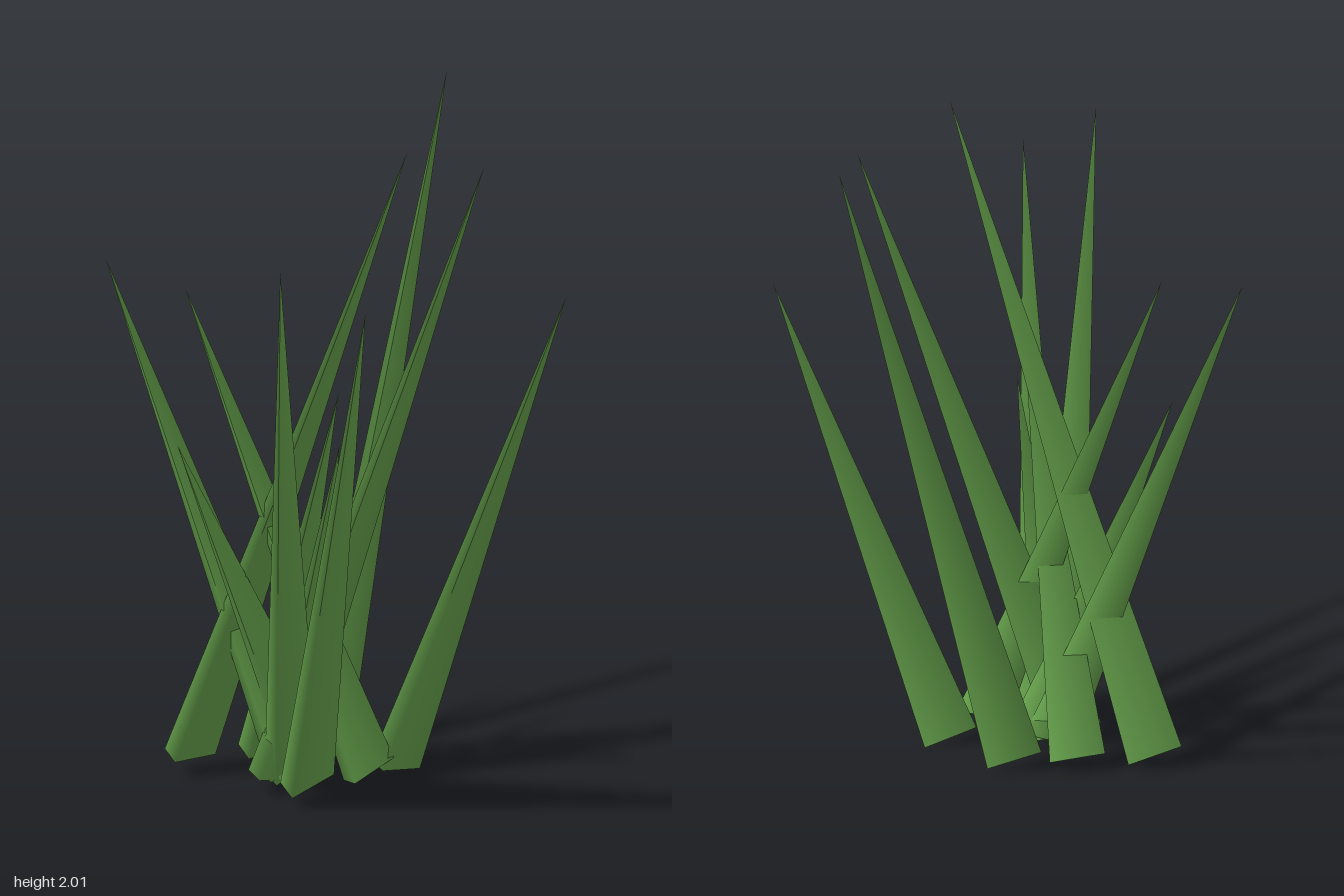
import * as THREE from 'three';

// Clump of leaning, three-sided tapered blades
export function createModel() {
  const group = new THREE.Group();
  group.name = 'grassClump';
  const green = new THREE.MeshStandardMaterial({ color: 0x6aa84f });
  green.name = 'grass green';

  // Unit blade: base on y = 0, tip at y = 1, one ridge towards +x, flattened in z
  const blade = new THREE.ConeGeometry(1, 1, 3, 1, false, Math.PI / 2);
  blade.translate(0, 0.5, 0);
  blade.scale(0.109, 1, 0.041);

  // Middle of each base, then its tip
  const blades = [
    [[-0.43, 0.045, -0.36], [0.02, 1.96, 0.13]],
    [[-0.275, 0.035, -0.12], [0.32, 1.86, 0.06]],
    [[-0.04, 0.04, -0.215], [0.565, 2.0, -0.515]],
    [[0.08, 0.027, 0.0], [0.54, 1.47, 0.165]],
    [[-0.21, 0.03, -0.13], [-0.57, 1.79, 0.455]],
    [[-0.23, 0.045, 0.0], [-0.38, 1.68, 0.565]],
    [[-0.2, 0.03, -0.12], [-0.565, 1.57, -0.57]],
    [[-0.04, 0.05, 0.04], [-0.43, 1.52, -0.34]],
    [[-0.14, 0.035, -0.12], [-0.53, 1.1, -0.22]],
    [[-0.21, 0.04, -0.295], [-0.21, 1.3, 0.14]],
    [[-0.23, 0.03, -0.13], [-0.165, 1.12, 0.07]],
  ];
  const up = new THREE.Vector3(0, 1, 0);
  blades.forEach(([base, tip], i) => {
    const foot = new THREE.Vector3(...base);
    foot.x -= 0.027; // the ridge side reaches farther from the axis
    const axis = new THREE.Vector3(...tip).sub(foot);
    const mesh = new THREE.Mesh(blade, green);
    mesh.name = `blade${i + 1}`;
    mesh.scale.y = axis.length();
    mesh.quaternion.setFromUnitVectors(up, axis.normalize());
    mesh.position.copy(foot);
    group.add(mesh);
  });
  return group;
}
